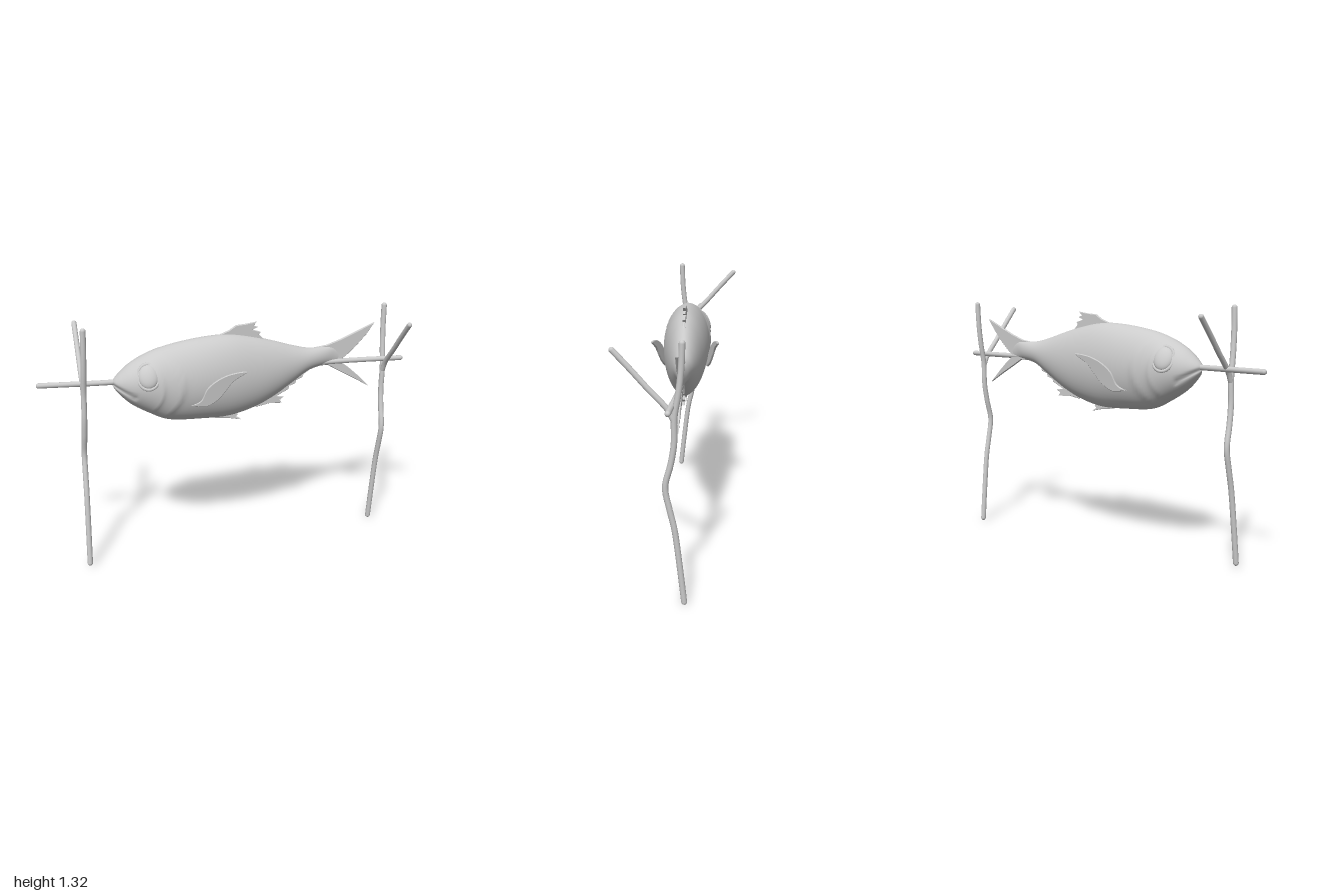
import * as THREE from 'three';

const material = new THREE.MeshStandardMaterial({ color: 0xcccccc, side: THREE.DoubleSide });

function addMesh(parent, geometry, name) {
  const mesh = new THREE.Mesh(geometry, material);
  mesh.name = name;
  parent.add(mesh);
  return mesh;
}

// Round stick along a curve, with rounded ends
function addStick(parent, points, radius, name) {
  const stick = new THREE.Group();
  stick.name = name;
  const pts = points.map((p) => new THREE.Vector3(...p));
  const curve = new THREE.CatmullRomCurve3(pts);
  addMesh(stick, new THREE.TubeGeometry(curve, 48, radius, 12), name + 'Shaft');
  for (const end of [pts[0], pts[pts.length - 1]]) {
    addMesh(stick, new THREE.SphereGeometry(radius, 12, 8), name + 'End').position.copy(end);
  }
  parent.add(stick);
}

// Forked support post: (y, z) path swept at a slight lean in x
function addPost(parent, xBottom, xTop, side, lift, name) {
  const post = new THREE.Group();
  post.name = name;
  const at = ([y, z]) => [xBottom + (xTop - xBottom) * y / 1.3, y + lift, z * side];
  const stem = [[0.013, -0.057], [0.2, -0.037], [0.4, -0.012], [0.5, 0.01], [0.61, 0.029],
    [0.72, 0.004], [0.82, -0.012], [0.95, -0.014], [1.06, -0.032], [1.17, -0.044], [1.29, -0.049]];
  const branch = [[0.93, -0.012], [0.985, 0.015], [1.08, 0.1], [1.17, 0.178], [1.255, 0.255]];
  addStick(post, stem.map(at), 0.0145, 'postStem');
  addStick(post, branch.map(at), 0.0135, 'postBranch');
  parent.add(post);
}

// Body sections: x, top, bottom, half width, centre z
const sections = [
  [-0.622, 1.015, 0.99, 0.012, -0.01], [-0.608, 1.032, 0.965, 0.035, -0.01],
  [-0.58, 1.06, 0.93, 0.06, -0.01], [-0.53, 1.1, 0.882, 0.088, -0.01],
  [-0.44, 1.146, 0.826, 0.11, -0.01], [-0.34, 1.177, 0.779, 0.118, -0.01],
  [-0.15, 1.206, 0.762, 0.122, -0.01], [0, 1.209, 0.762, 0.113, -0.012],
  [0.14, 1.183, 0.794, 0.096, -0.016], [0.25, 1.152, 0.842, 0.08, -0.02],
  [0.355, 1.118, 0.906, 0.062, -0.024], [0.45, 1.094, 0.965, 0.045, -0.027],
  [0.54, 1.09, 0.988, 0.028, -0.03], [0.6, 1.085, 0.995, 0.013, -0.03],
  [0.65, 1.05, 1.0, 0.004, -0.029],
];

// Relief of the head: gill cover, cheek plate and mouth groove
function headRelief(x, y) {
  const ridge = (edge, height) => {
    const d = edge - x;
    return height * Math.exp(d > 0 ? -d / 0.06 : d / 0.012);
  };
  const gill = -0.28 - 3 * (y - 0.98) ** 2;
  const t = THREE.MathUtils.clamp((x + 0.62) / 0.1, 0, 1);
  const mouth = Math.hypot(x + 0.62 - 0.1 * t, y - 0.995 + 0.06 * t);
  return ridge(gill, 0.009) + ridge(gill - 0.1, 0.008) - 0.014 * Math.exp(-((mouth / 0.01) ** 2));
}

function bodyGeometry() {
  const rings = 150, sides = 48, positions = [], index = [];
  const column = (k) => new THREE.CatmullRomCurve3(
    sections.map((s) => new THREE.Vector3(s[0], s[k], s[k + 1])), false, 'centripetal');
  const heights = column(1), widths = column(3);
  // Sample both curves at the same section parameter
  for (let i = 0; i <= rings; i++) {
    const h = heights.getPoint(i / rings), w = widths.getPoint(i / rings);
    const cy = (h.y + h.z) / 2, hy = (h.y - h.z) / 2;
    for (let j = 0; j < sides; j++) {
      const a = j / sides * Math.PI * 2, c = Math.cos(a), s = Math.sin(a);
      const y = cy + hy * s;
      const flank = Math.sign(c) * Math.abs(c) ** 1.12;
      const half = Math.max(0.002, w.y + headRelief(h.x, y));
      positions.push(h.x, y, w.z + half * flank);
    }
  }
  for (let i = 0; i < rings; i++) {
    for (let j = 0; j < sides; j++) {
      const a = i * sides + j, b = i * sides + (j + 1) % sides;
      index.push(a, a + sides, b + sides, a, b + sides, b);
    }
  }
  // Close the snout and the tail root
  const last = rings * sides;
  for (let j = 1; j < sides - 1; j++) {
    index.push(0, j, j + 1, last, last + j + 1, last + j);
  }
  const geometry = new THREE.BufferGeometry();
  geometry.setAttribute('position', new THREE.Float32BufferAttribute(positions, 3));
  geometry.setIndex(index);
  geometry.computeVertexNormals();
  return geometry;
}

// Thin fin from an outline; zAt(x, y) leans it sideways
function addFin(parent, outline, thickness, zAt, name, smooth = false) {
  const pts = outline.map((p) => new THREE.Vector2(...p));
  const shape = new THREE.Shape();
  shape.moveTo(pts[0].x, pts[0].y);
  if (smooth) shape.splineThru(pts.slice(1));
  else pts.slice(1).forEach((p) => shape.lineTo(p.x, p.y));
  const geometry = new THREE.ExtrudeGeometry(shape, {
    depth: thickness / 2, bevelThickness: thickness / 4, bevelSize: 0.003, bevelOffset: -0.003,
    bevelSegments: 1, curveSegments: 24,
  });
  const pos = geometry.attributes.position;
  for (let i = 0; i < pos.count; i++) {
    pos.setZ(i, pos.getZ(i) - thickness / 4 + zAt(pos.getX(i), pos.getY(i)));
  }
  geometry.computeVertexNormals();
  addMesh(parent, geometry, name);
}

export function createModel() {
  const model = new THREE.Group();
  model.name = 'fishOnSpit';

  // Posts and spit
  addPost(model, -0.8, -0.765, -1, 0.012, 'rightPost');
  addPost(model, 0.88, 0.9, 1, 0, 'leftPost');
  addStick(model, [[-0.988, 1.01, -0.053], [-0.6, 1.007, -0.01], [0, 1.01, -0.005],
    [0.62, 1.003, -0.024], [0.988, 1, 0.008]], 0.014, 'spit');

  // Fish body
  const fish = new THREE.Group();
  fish.name = 'fish';
  model.add(fish);
  addMesh(fish, bodyGeometry(), 'body');

  // Forked tail
  addFin(fish, [[0.46, 1.085], [0.56, 1.098], [0.64, 1.125], [0.73, 1.163], [0.832, 1.206],
    [0.79, 1.145], [0.73, 1.08], [0.68, 1.035], [0.637, 1.004], [0.69, 0.965], [0.75, 0.912],
    [0.82, 0.842], [0.72, 0.9], [0.63, 0.95], [0.57, 0.985], [0.46, 0.985]],
  0.014, (x) => -0.03 + 0.04 * (x - 0.6), 'tailFin');

  // Dorsal, anal and pelvic fins
  addFin(fish, [[-0.06, 1.19], [-0.045, 1.212], [0.0, 1.228], [0.04, 1.253], [0.09, 1.256],
    [0.155, 1.264], [0.135, 1.245], [0.16, 1.235], [0.13, 1.222], [0.175, 1.208],
    [0.165, 1.195], [0.195, 1.165], [0.1, 1.17]], 0.014, () => -0.015, 'dorsalFin');
  addFin(fish, [[0.1, 0.81], [0.16, 0.792], [0.23, 0.803], [0.305, 0.797], [0.29, 0.815],
    [0.315, 0.832], [0.27, 0.838], [0.31, 0.858], [0.34, 0.872], [0.345, 0.89], [0.38, 0.9],
    [0.385, 0.918], [0.42, 0.93], [0.425, 0.945], [0.455, 0.965], [0.4, 0.97], [0.2, 0.85]],
  0.014, (x) => -0.008 - 0.04 * x, 'analFin');
  for (const side of [1, -1]) {
    addFin(fish, [[-0.14, 0.785], [-0.08, 0.757], [0, 0.747], [0.065, 0.733], [0.035, 0.752],
      [0.05, 0.765], [0, 0.785]], 0.008, () => -0.01 + side * 0.009, 'pelvicFin');
  }

  for (const side of [1, -1]) {
    // Pectoral fin, swept back and away from the flank
    addFin(fish, [[-0.235, 0.875], [-0.185, 0.9], [-0.155, 0.965], [-0.1, 1.015], [-0.03, 1.045],
      [0.045, 1.052], [-0.02, 1.005], [-0.06, 0.95], [-0.1, 0.9], [-0.16, 0.865], [-0.235, 0.875]],
    0.012, (x, y) => -0.012 + side * (0.112 + 0.16 * (x + 0.2) + 0.15 * (y - 0.9)),
    'pectoralFin', true);

    // Eye with its raised rim, tilted to follow the head
    const eye = new THREE.Group();
    eye.name = side > 0 ? 'leftEye' : 'rightEye';
    eye.position.set(-0.452, 1.047, -0.01 + side * 0.088);
    eye.rotation.set(-side * 0.42, -side * 0.2, 0);
    addMesh(eye, new THREE.SphereGeometry(1, 32, 20), 'eyeball').scale.set(0.052, 0.062, 0.026);
    addMesh(eye, new THREE.TorusGeometry(0.055, 0.008, 10, 40), 'eyeRim').scale.set(1, 1.18, 1);
    fish.add(eye);
  }
  return model;
}
